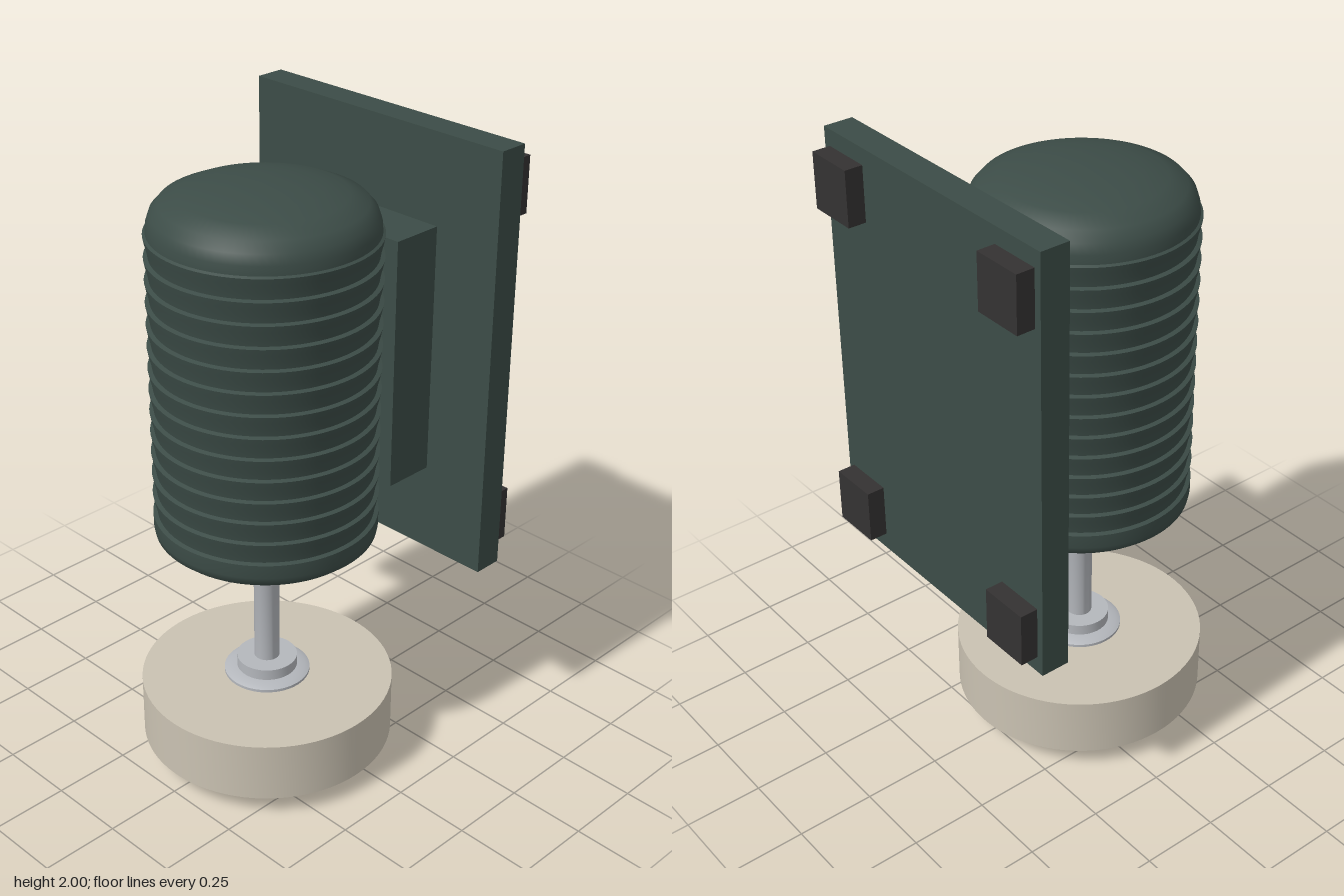
import * as THREE from 'three';
import { toCreasedNormals } from 'three/addons/utils/BufferGeometryUtils.js';

const AXIS_Z = 0.095; // shared axis of motor, shaft and wheel

const material = (name, color) => {
  const m = new THREE.MeshStandardMaterial({ color });
  m.name = name;
  return m;
};

export function createModel() {
  const green = material('darkGreen', 0x3c4c47);
  const steel = material('steel', 0xb4b7bc);
  const cream = material('cream', 0xcac2b2);
  const rubber = material('blackRubber', 0x343232);
  const model = new THREE.Group();
  model.name = 'motorWithWheel';

  const add = (name, geometry, mat, x, y, z) => {
    const mesh = new THREE.Mesh(geometry, mat);
    mesh.name = name;
    mesh.position.set(x, y, z);
    model.add(mesh);
  };
  // box given by its lower and upper corner
  const box = (name, mat, a, b) =>
    add(name, new THREE.BoxGeometry(b[0] - a[0], b[1] - a[1], b[2] - a[2]), mat,
      (a[0] + b[0]) / 2, (a[1] + b[1]) / 2, (a[2] + b[2]) / 2);
  // turned part, profile of [radius, height] from bottom to top
  const turned = (name, mat, profile, segments = 64) => {
    const points = profile.map(([r, y]) => new THREE.Vector2(r, y));
    add(name, toCreasedNormals(new THREE.LatheGeometry(points, segments), 0.75), mat, 0, 0, AXIS_Z);
  };

  // motor housing: rounded ends with stepped cooling ribs between
  const housing = [[0, 0.755], [0.17, 0.757], [0.27, 0.772], [0.315, 0.787], [0.336, 0.805], [0.34, 0.825], [0.34, 0.868]];
  const ribs = 13, from = 0.868, pitch = 0.0685;
  for (let i = 0; i < ribs; i++) {
    const y = from + i * pitch;
    housing.push([0.327, y + 0.004], [0.33, y + pitch * 0.35], [0.336, y + pitch * 0.7], [0.34, y + pitch]);
  }
  housing.push([0.332, 1.763], [0.33, 1.79], [0.32, 1.82], [0.295, 1.848], [0.24, 1.872], [0.17, 1.887], [0.1, 1.897], [0, 1.9]);
  turned('motorHousing', green, housing, 80);

  // mounting block and back plate
  box('mountingBlock', green, [-0.255, 0.93, -0.345], [0.255, 1.72, -0.18]);
  box('backPlate', green, [-0.478, 0.65, -0.438], [0.478, 2, -0.345]);

  // rubber pads on the back plate corners
  for (const side of [-1, 1]) {
    for (const y of [0.705, 1.775]) {
      const x = side * 0.375;
      box('rubberPad', rubber, [x - 0.08, y, -0.495], [x + 0.08, y + 0.173, -0.438]);
    }
  }

  // drive shaft with collar under the motor
  turned('shaft', steel, [[0.04, 0.25], [0.04, 0.705], [0.046, 0.72], [0.046, 0.76]], 32);

  // wheel and its clamping hubs
  turned('wheel', cream, [[0, 0.065], [0.397, 0.065], [0.397, 0.26], [0, 0.26]], 80);
  turned('upperHub', steel, [[0.118, 0.258], [0.118, 0.268], [0.135, 0.27], [0.135, 0.279], [0.12, 0.286],
    [0.095, 0.289], [0.095, 0.325], [0, 0.325]], 48);
  turned('lowerHub', steel, [[0, 0.003], [0.1, 0.003], [0.108, 0.012], [0.11, 0.035], [0.12, 0.042],
    [0.132, 0.05], [0.135, 0.067]], 48);

  // bottom nut face
  turned('hubCap', steel, [[0, 0], [0.085, 0], [0.095, 0.005]], 48);
  return model;
}
